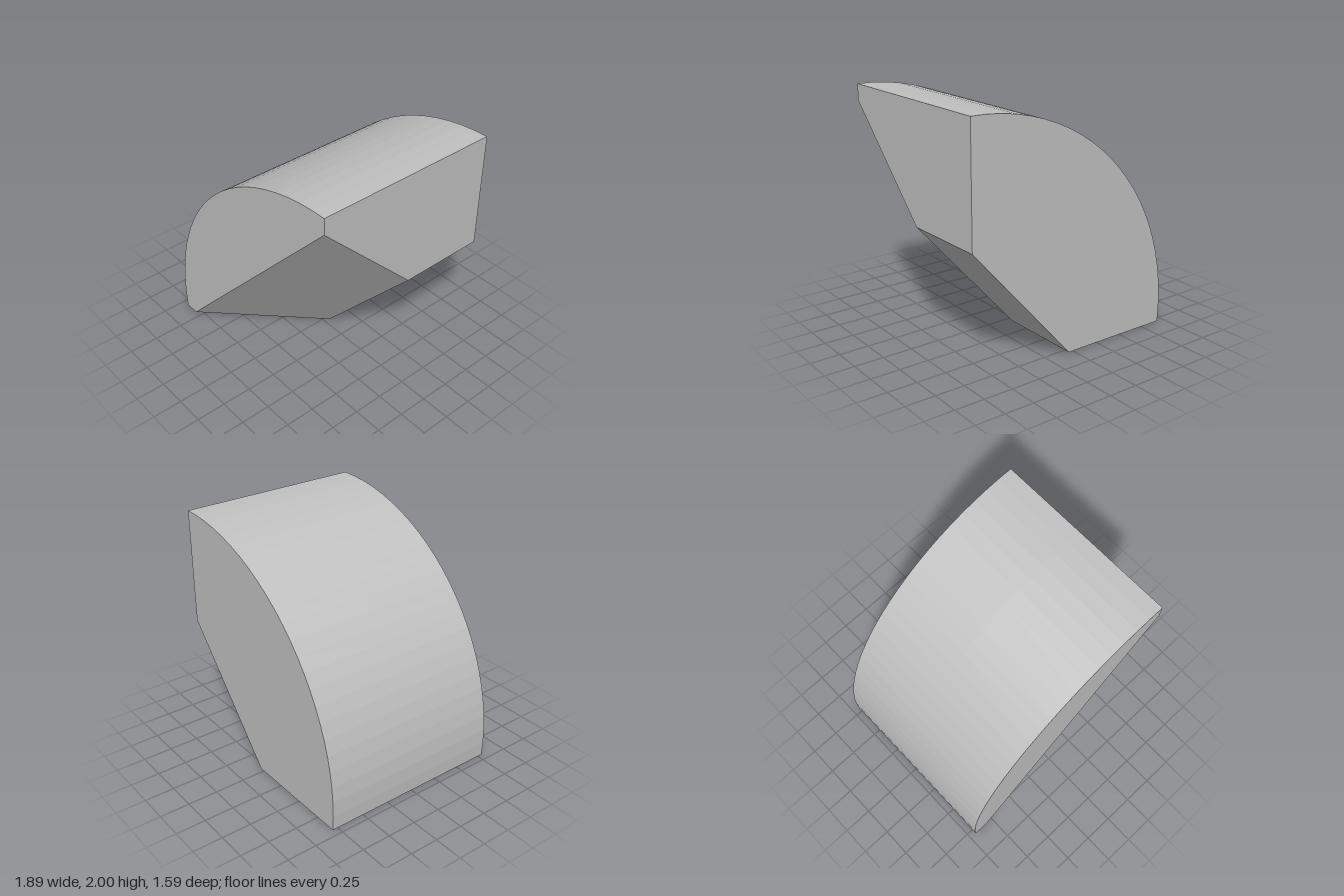
import * as THREE from 'three';

const HALF_DEPTH = 0.795;
const RIGHT = 0.945;
const ARC_STEPS = 24;

// Outline, counter-clockwise from +z: sloped underside, right edge, then the curved back
function section(bottomX, rightY, z) {
  const points = [new THREE.Vector3(bottomX, 0, z), new THREE.Vector3(RIGHT, rightY, z)];
  const cx = 0.905, cy = 0.15, r = 1.85;
  const start = Math.acos((RIGHT - cx) / r);
  const end = Math.PI + Math.asin(cy / r);
  for (let i = 0; i <= ARC_STEPS; i++) {
    const a = start + (end - start) * i / ARC_STEPS;
    points.push(new THREE.Vector3(cx + r * Math.cos(a), cy + r * Math.sin(a), z));
  }
  return points;
}

export function createModel() {
  const grey = new THREE.MeshStandardMaterial({ color: 0xc0c0c0 });
  grey.name = 'plain grey';

  // Constant section at the back, tapering to a thinner one at the front
  const sections = [
    section(0.04, 1.02, -HALF_DEPTH),
    section(0.04, 1.02, -0.05),
    section(-0.81, 1.865, HALF_DEPTH),
  ];
  const triangles = [];
  const count = sections[0].length;

  // Side walls between neighbouring sections
  for (let s = 0; s < sections.length - 1; s++) {
    const a = sections[s], b = sections[s + 1];
    for (let i = 0; i < count; i++) {
      const j = (i + 1) % count;
      triangles.push(b[i], a[i], b[j], a[i], a[j], b[j]);
    }
  }

  // Flat back and front caps
  const back = sections[0], front = sections[2];
  for (let i = 1; i < count - 1; i++) {
    triangles.push(back[0], back[i + 1], back[i]);
    triangles.push(front[0], front[i], front[i + 1]);
  }

  // Unshared vertices give each facet a flat normal
  const geometry = new THREE.BufferGeometry().setFromPoints(triangles);
  geometry.computeVertexNormals();

  const wedge = new THREE.Mesh(geometry, grey);
  wedge.name = 'curvedWedge';
  const group = new THREE.Group();
  group.name = 'curvedCornerBlock';
  group.add(wedge);
  return group;
}
